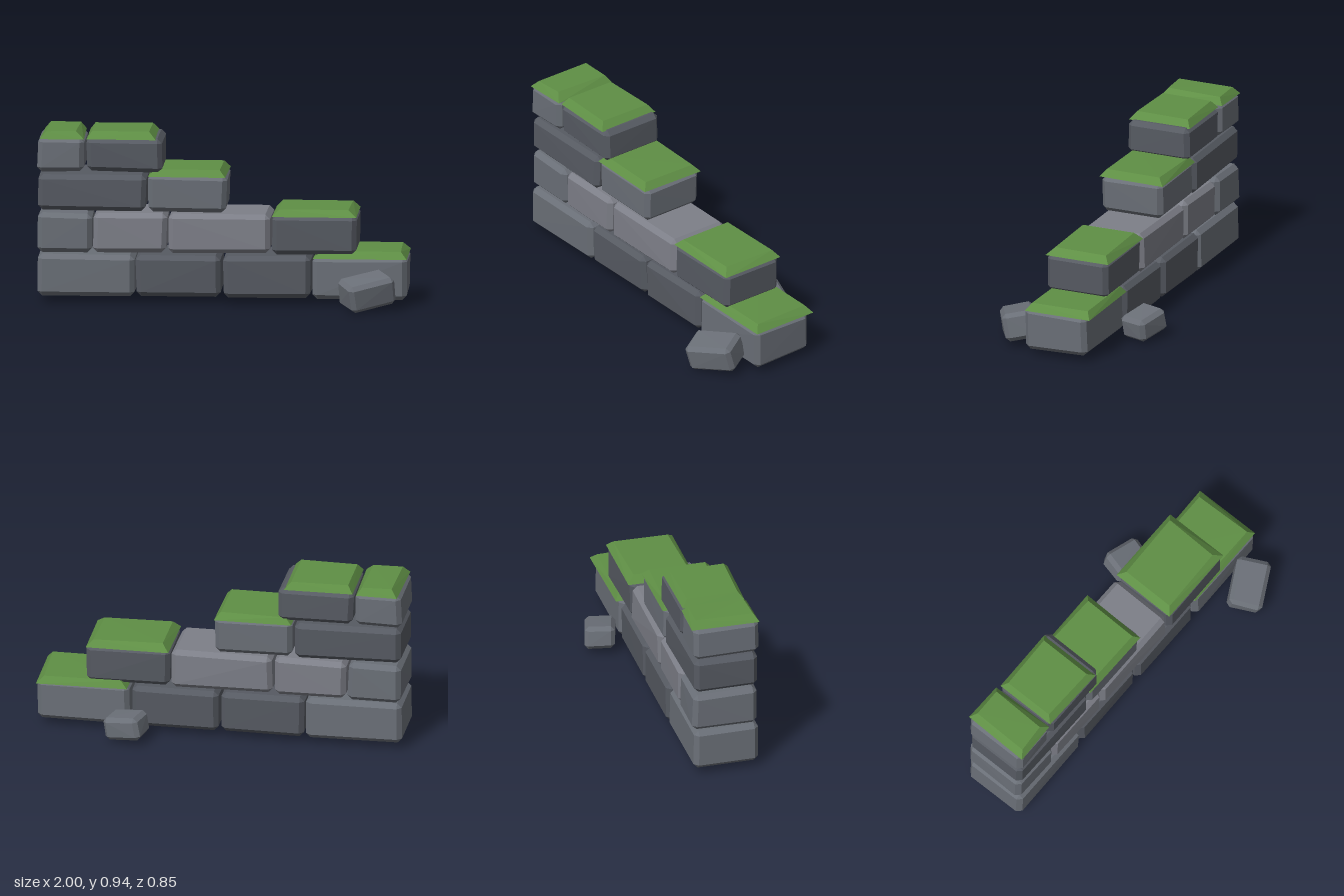
import * as THREE from 'three';
import { ConvexGeometry } from 'three/addons/geometries/ConvexGeometry.js';

// small seeded generator for hand-cut irregularity
let seed = 7;
const wobble = (amount) => {
  seed = (seed * 16807) % 2147483647;
  return (seed / 2147483647 - 0.5) * 2 * amount;
};

const stone = (color) => new THREE.MeshStandardMaterial({ color, flatShading: true });
const dark = stone(0x565a62);
const mid = stone(0x6a6f77);
const light = stone(0x7d7f88);
const mossy = stone(0x5f8f45);

const signs = [-1, 1];

// block with every edge chamfered: three points around each corner
function chamferedBlock(w, h, d, bevel, rough) {
  const points = [];
  for (const sx of signs) for (const sy of signs) for (const sz of signs) {
    const corner = new THREE.Vector3(
      sx * (w / 2) + wobble(rough), sy * (h / 2) + wobble(rough), sz * (d / 2) + wobble(rough));
    const cut = new THREE.Vector3(-sx, -sy, -sz).multiplyScalar(bevel);
    points.push(
      corner.clone().add(new THREE.Vector3(0, cut.y, cut.z)),
      corner.clone().add(new THREE.Vector3(cut.x, 0, cut.z)),
      corner.clone().add(new THREE.Vector3(cut.x, cut.y, 0)));
  }
  return new ConvexGeometry(points);
}

// moss cap: wide base, narrower flat top
function mossCap(x0, x1, y0, y1, zBack, zFront) {
  const points = [];
  for (const sx of signs) for (const sz of signs) {
    const x = sx < 0 ? x0 : x1;
    const z = sz < 0 ? zBack : zFront;
    points.push(
      new THREE.Vector3(x + wobble(0.006), y0, z + wobble(0.006)),
      new THREE.Vector3(x - sx * 0.035 + wobble(0.006), y1 - Math.abs(wobble(0.004)), z - sz * 0.03 + wobble(0.006)));
  }
  return new ConvexGeometry(points);
}

function addMesh(parent, name, geometry, material) {
  const mesh = new THREE.Mesh(geometry, material);
  mesh.name = name;
  parent.add(mesh);
  return mesh;
}

export function createModel() {
  seed = 7;
  const model = new THREE.Group();
  model.name = 'ruinedWall';

  // courses from the ground up: y range, then blocks as [x0, x1, material]
  const courses = [
    [0.033, 0.262, [[-1, -0.48, mid], [-0.47, -0.015, dark], [0, 0.47, dark], [0.485, 0.99, mid]]],
    [0.275, 0.487, [[-1, -0.71, mid], [-0.7, -0.305, light], [-0.295, 0.255, light], [0.265, 0.72, dark]]],
    [0.5, 0.7, [[-1, -0.415, dark], [-0.403, 0.018, mid]]],
    [0.715, 0.897, [[-1, -0.75, mid], [-0.738, -0.33, dark]]],
  ];
  courses.forEach(([y0, y1, blocks], row) => {
    const course = new THREE.Group();
    course.name = 'course' + (row + 1);
    model.add(course);
    blocks.forEach(([x0, x1, material], i) => {
      const block = addMesh(course, 'block' + (i + 1),
        chamferedBlock(x1 - x0, y1 - y0, 0.36, 0.025, 0.004), material);
      block.position.set((x0 + x1) / 2, (y0 + y1) / 2, -0.025 + wobble(0.003));
    });
  });

  // moss on each exposed step: x0, x1, y0, y1, back z, front z
  const caps = [
    [-0.985, -0.755, 0.893, 0.935, -0.21, 0.163],
    [-0.738, -0.365, 0.893, 0.935, -0.2, 0.155],
    [-0.405, 0.018, 0.692, 0.732, -0.215, 0.16],
    [0.265, 0.715, 0.48, 0.52, -0.21, 0.152],
    [0.49, 0.99, 0.253, 0.294, -0.225, 0.155],
  ];
  caps.forEach((cap, i) => addMesh(model, 'mossCap' + (i + 1), mossCap(...cap), mossy));

  // fallen stones in front of and behind the wall
  const front = addMesh(model, 'fallenStoneFront', chamferedBlock(0.27, 0.155, 0.185, 0.022, 0.003), mid);
  front.position.set(0.785, 0.102, 0.28);
  front.rotation.set(0.18, 0.5, 0.08);

  const back = addMesh(model, 'fallenStoneBack', chamferedBlock(0.205, 0.125, 0.165, 0.022, 0.003), mid);
  back.position.set(0.477, 0.087, -0.314);
  back.rotation.set(0, -0.28, -0.17);

  return model;
}
